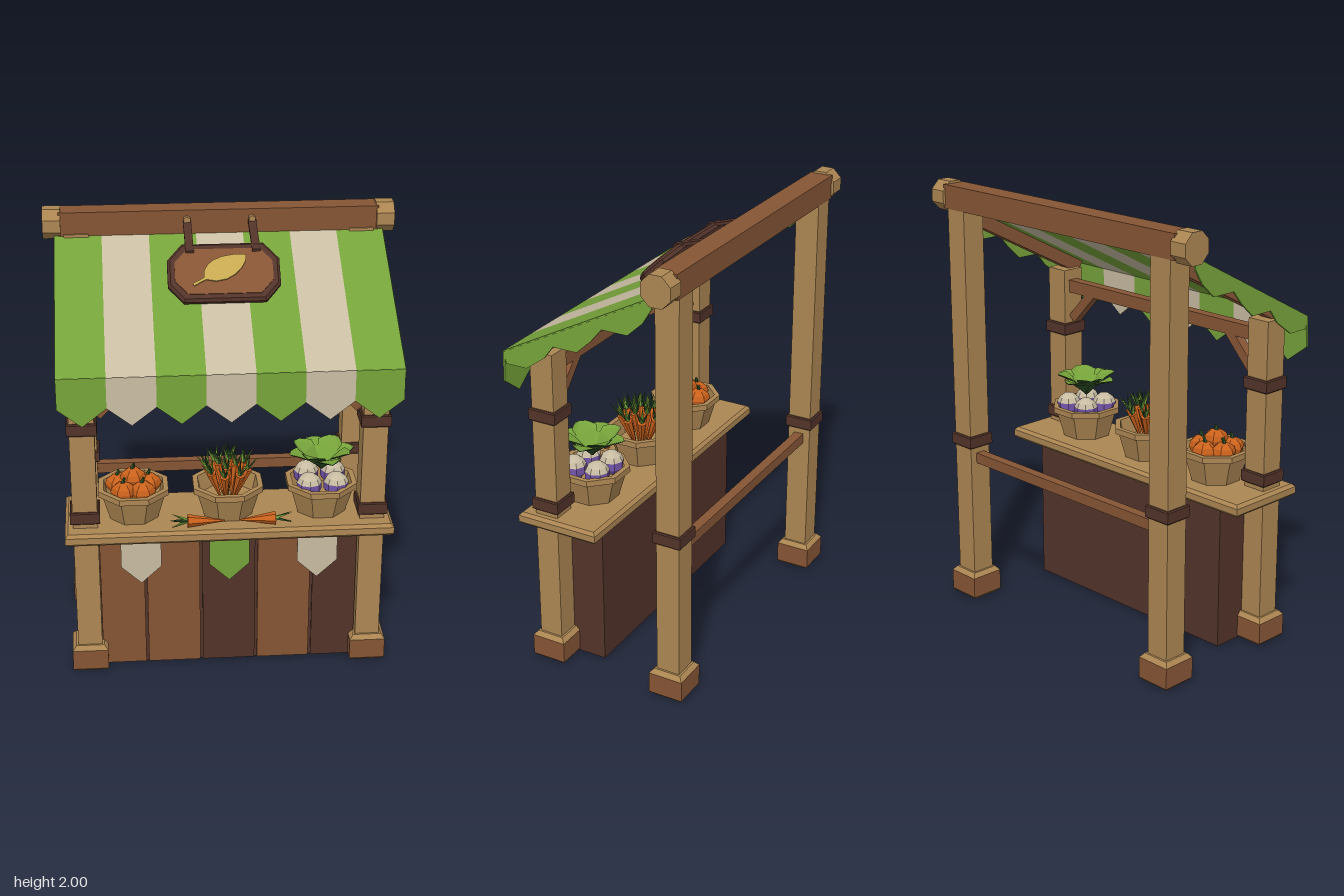
import * as THREE from 'three';

const mat = (name, color, opts = {}) => {
  const m = new THREE.MeshStandardMaterial({ color, flatShading: true, ...opts });
  m.name = name;
  return m;
};

export function createModel() {
  const tan = mat('tanWood', 0xac8652), brown = mat('brownWood', 0x865535), dark = mat('darkWood', 0x523329);
  const green = mat('clothGreen', 0x76a33a, { side: THREE.DoubleSide });
  const cream = mat('cream', 0xc8bca2, { side: THREE.DoubleSide });
  const orange = mat('orange', 0xcb621c), purple = mat('purple', 0x7556ac);
  const leafDark = mat('leafDark', 0x2c4f26, { side: THREE.DoubleSide });
  const gold = mat('gold', 0xc6a850);
  const root = new THREE.Group();
  root.name = 'marketStall';

  const add = (name, geo, material, x = 0, y = 0, z = 0, parent = root) => {
    const m = new THREE.Mesh(geo, material);
    m.name = name;
    m.position.set(x, y, z);
    parent.add(m);
    return m;
  };
  const box = (name, material, w, h, d, x, y, z, parent) =>
    add(name, new THREE.BoxGeometry(w, h, d), material, x, y, z, parent);
  // Bar running from a to b
  const bar = (name, material, a, b, w, h) => {
    const p = new THREE.Vector3(...a), q = new THREE.Vector3(...b);
    const m = box(name, material, w, h, p.distanceTo(q), 0, 0, 0);
    m.position.copy(p).lerp(q, 0.5);
    m.lookAt(q);
    return m;
  };
  const polygon = pts => new THREE.Shape(pts.map(p => new THREE.Vector2(...p)));
  const plate = (pts, depth) => new THREE.ExtrudeGeometry(polygon(pts), { depth, bevelEnabled: false });
  // Block with chamfered top and bottom edges
  const slab = (w, h, d, c) => {
    const a = w / 2 - c, b = d / 2 - c;
    const g = new THREE.ExtrudeGeometry(polygon([[-a, -b], [a, -b], [a, b], [-a, b]]),
      { depth: h - 2 * c, bevelSize: c, bevelThickness: c, bevelSegments: 1 });
    return g.translate(0, 0, c - h / 2).rotateX(-Math.PI / 2);
  };
  // Square frustum given half widths
  const frustum = (top, bottom, h) =>
    new THREE.CylinderGeometry(top * Math.SQRT2, bottom * Math.SQRT2, h, 4).rotateY(Math.PI / 4);

  // Posts, feet and bands
  const PX = 0.637, FZ = 0.259, BZ = -0.345;
  for (const s of [-1, 1]) {
    for (const [z, top] of [[FZ, 1.51], [BZ, 1.89]]) {
      const x = s * PX;
      box('post', tan, 0.11, top - 0.01, 0.11, x, top / 2 + 0.005, z);
      add('footBottom', frustum(0.081, 0.066, 0.015), tan, x, 0.0075, z);
      box('foot', brown, 0.162, 0.097, 0.162, x, 0.0635, z);
      add('footTop', frustum(0.064, 0.081, 0.02), tan, x, 0.122, z);
      for (const y of z > 0 ? [0.79, 1.22] : [0.79]) add('postBand', slab(0.132, 0.058, 0.132, 0.005), dark, x, y, z);
    }
    // Roof rafters and braces
    bar('rafter', brown, [s * PX, 1.84, -0.31], [s * PX, 1.505, 0.33], 0.06, 0.06);
    bar('brace', brown, [s * 0.57, 1.27, FZ], [s * 0.43, 1.42, FZ], 0.045, 0.045);
    // Ridge beam end caps
    add('beamCap', new THREE.CylinderGeometry(0.073, 0.073, 0.08, 8).rotateY(Math.PI / 8).rotateZ(Math.PI / 2),
      tan, s * 0.745, 1.932, -0.347);
  }
  box('ridgeBeam', brown, 1.43, 0.108, 0.105, 0, 1.935, -0.35);
  box('frontBeam', brown, 1.18, 0.06, 0.05, 0, 1.43, FZ);
  box('backRail', brown, 1.18, 0.05, 0.045, 0, 0.708, BZ);

  // Striped awning with pointed valance
  const W = 0.21;
  for (let i = 0; i < 7; i++) {
    const cloth = i % 2 ? cream : green, x = (i - 3) * W;
    bar('awningStripe', cloth, [x, 1.88, -0.31], [x, 1.5, 0.413], W, 0.012);
    const v = add('valanceStripe', plate([[-W / 2, 0], [-W / 2, -0.137], [0, -0.218], [W / 2, -0.137], [W / 2, 0]], 0.009),
      cloth, x, 1.503, 0.407);
    v.rotation.x = -0.04;
  }
  // Side flaps with a stepped lower edge
  const flap = [[0.415, 1.5], [0.4, 1.45], [0.3, 1.45], [0.21, 1.515], [0.165, 1.575], [0.05, 1.575], [-0.02, 1.64],
    [-0.07, 1.7], [-0.19, 1.7], [-0.26, 1.765], [-0.3, 1.83], [-0.31, 1.88]];
  for (const x of [-0.727, 0.737]) add('awningFlap', plate(flap, 0.009).rotateY(-Math.PI / 2), green, x);

  // Counter with plank front, open underneath
  add('counterTop', slab(1.455, 0.058, 0.391, 0.014), tan, 0, 0.71, 0.188);
  box('counterBack', dark, 1.17, 0.675, 0.02, 0, 0.3425, 0.055);
  for (const s of [-1, 1]) box('counterSide', dark, 0.02, 0.675, 0.2, s * 0.575, 0.3425, 0.155);
  const edges = [-0.585, -0.375, -0.125, 0.125, 0.375, 0.585];
  [brown, brown, dark, brown, dark].forEach((m, i) => {
    const a = edges[i], b = edges[i + 1];
    box('frontPlank', m, b - a - 0.012, 0.675, 0.024, (a + b) / 2, 0.3425, 0.268);
    if (i) box('plankGap', dark, 0.014, 0.675, 0.012, a, 0.3425, 0.266);
  });
  [-0.395, 0, 0.395].forEach((x, i) => add('pennant',
    plate([[-0.09, 0.69], [-0.09, 0.535], [0, 0.45], [0.09, 0.535], [0.09, 0.69]], 0.008), i === 1 ? green : cream, x, 0, 0.31));

  // Hanging sign
  const sign = new THREE.Group();
  sign.name = 'sign';
  sign.position.set(0, 1.79, -0.025);
  sign.rotation.x = -0.82;
  root.add(sign);
  const octagon = (w, h, cx, cy) => [[-w + cx, -h], [w - cx, -h], [w, -h + cy], [w, h - cy], [w - cx, h], [-w + cx, h], [-w, h - cy], [-w, -h + cy]];
  add('signFrame', new THREE.ExtrudeGeometry(polygon(octagon(0.233, 0.128, 0.06, 0.07)),
    { depth: 0.016, bevelSize: 0.012, bevelThickness: 0.012, bevelSegments: 1 }), dark, 0, 0, -0.01, sign);
  add('signPanel', plate(octagon(0.213, 0.108, 0.055, 0.062), 0.008), brown, 0, 0, 0.014, sign);
  const leafShape = new THREE.Shape();
  leafShape.moveTo(-0.09, -0.04);
  leafShape.bezierCurveTo(-0.1, 0.04, -0.02, 0.085, 0.1, 0.075);
  leafShape.bezierCurveTo(0.105, 0.02, 0.02, -0.085, -0.09, -0.04);
  add('signLeaf', new THREE.ExtrudeGeometry(leafShape, { depth: 0.007, bevelEnabled: false, curveSegments: 6 }), gold, 0, 0, 0.022, sign);
  box('signLeafStem', gold, 0.07, 0.012, 0.007, -0.105, -0.049, 0.0255, sign).rotation.z = 0.5;
  for (const s of [-1, 1]) {
    bar('signStrap', dark, [s * 0.145, 1.937, -0.29], [s * 0.145, 1.872, -0.075], 0.036, 0.014);
    add('strapPeg', new THREE.CylinderGeometry(0.017, 0.017, 0.03, 6).rotateX(Math.PI / 2), tan, s * 0.145, 1.948, -0.288);
  }

  // Eight-sided baskets
  const profile = [[0, 0], [0.115, 0], [0.15, 0.12], [0.167, 0.12], [0.167, 0.147], [0.142, 0.147], [0.125, 0.07], [0, 0.07]]
    .map(p => new THREE.Vector2(...p));
  const baskets = [-0.42, 0, 0.42].map((x, i) => {
    const g = new THREE.Group();
    g.name = ['pumpkinBasket', 'carrotBasket', 'turnipBasket'][i];
    g.position.set(x, 0.739, 0.19);
    root.add(g);
    add('basket', new THREE.LatheGeometry(profile, 8).rotateY(Math.PI / 8), tan, 0, 0, 0, g);
    return g;
  });

  // Ribbed pumpkins
  const pumpkinGeo = new THREE.SphereGeometry(0.058, 12, 6);
  const pp = pumpkinGeo.attributes.position;
  for (let i = 0; i < pp.count; i++) {
    const k = 0.93 + 0.07 * Math.cos(6 * Math.atan2(pp.getZ(i), pp.getX(i)));
    pp.setXYZ(i, pp.getX(i) * k, pp.getY(i) * 0.78, pp.getZ(i) * k);
  }
  const spots = [0, 1, 2, 3, 4].map(i => [0.072 * Math.sin(i * 1.2566 + 0.6), 0.142, 0.072 * Math.cos(i * 1.2566 + 0.6)]);
  for (const [x, y, z] of [...spots, [0, 0.183, 0]]) {
    add('pumpkin', pumpkinGeo, orange, x, y, z, baskets[0]);
    add('pumpkinStem', new THREE.CylinderGeometry(0.006, 0.01, 0.03, 5), leafDark, x, y + 0.052, z, baskets[0]).rotation.z = -0.3;
  }

  // Carrots: tip at the origin, leaves above
  const carrot = (parent, len, r, x, y, z, tiltX, tiltZ) => {
    const g = new THREE.Group();
    g.name = 'carrot';
    g.position.set(x, y, z);
    g.rotation.set(tiltX, 0, tiltZ);
    parent.add(g);
    add('carrotRoot', new THREE.CylinderGeometry(r, 0.003, len, 6), orange, 0, len / 2, 0, g);
    for (let i = 0; i < 4; i++) {
      const a = i * Math.PI / 2 + 0.4;
      const leaf = new THREE.ConeGeometry(0.009, 0.085, 4).translate(0, 0.042, 0).rotateX(0.38).rotateY(a);
      add('carrotLeaf', leaf, i % 2 ? green : leafDark, 0, len - 0.004, 0, g);
    }
  };
  for (let i = 0; i < 12; i++) {
    const inner = i >= 8, a = i * (inner ? Math.PI / 2 : Math.PI / 4) + 0.2, lean = inner ? 0.14 : 0.36;
    const c = Math.cos(a), s = Math.sin(a), k = inner ? 0.015 : 0.035;
    carrot(baskets[1], inner ? 0.165 : 0.155, 0.022, c * k, 0.068, s * k, s * lean, -c * lean);
  }
  carrot(root, 0.165, 0.03, -0.022, 0.765, 0.335, 0, Math.PI / 2 - 0.03);
  carrot(root, 0.16, 0.03, 0.043, 0.765, 0.335, 0, -Math.PI / 2 + 0.03);

  // Turnips with purple bottoms and pale tops
  for (let i = 0; i < 4; i++) {
    const a = i * Math.PI / 2 + Math.PI / 4, x = 0.085 * Math.cos(a), z = 0.085 * Math.sin(a);
    add('turnipBottom', new THREE.SphereGeometry(0.058, 8, 3, 0, 6.2832, 1.3, 1.84), purple, x, 0.145, z, baskets[2]);
    add('turnipTop', new THREE.SphereGeometry(0.058, 8, 3, 0, 6.2832, 0, 1.3), cream, x, 0.145, z, baskets[2]);
  }
  // Broad leaves, light above and dark below
  const broad = new THREE.ShapeGeometry(polygon([[0, 0], [0.02, 0.04], [0.055, 0.075], [0.05, 0.1], [0.06, 0.125], [0.04, 0.15],
    [0.025, 0.165], [0, 0.175], [-0.025, 0.165], [-0.04, 0.15], [-0.06, 0.125], [-0.05, 0.1], [-0.055, 0.075], [-0.02, 0.04]]));
  broad.rotateX(Math.PI / 2);
  const bp = broad.attributes.position;
  for (let i = 0; i < bp.count; i++) bp.setY(i, Math.abs(bp.getX(i)) * 0.35 + 0.3 * bp.getZ(i) - 1.2 * bp.getZ(i) ** 2);
  const top = broad.clone().translate(0, 0.003, 0);
  for (let i = 0; i < 8; i++) {
    const g = new THREE.Group();
    g.name = 'turnipLeaf';
    g.position.set(0, 0.19, 0);
    g.rotation.set(-0.45 - 0.12 * (i % 2), i * Math.PI / 4 + 0.2, 0, 'YXZ');
    baskets[2].add(g);
    add('leafTop', top, green, 0, 0, 0, g);
    add('leafUnderside', broad, leafDark, 0, 0, 0, g);
  }
  return root;
}
